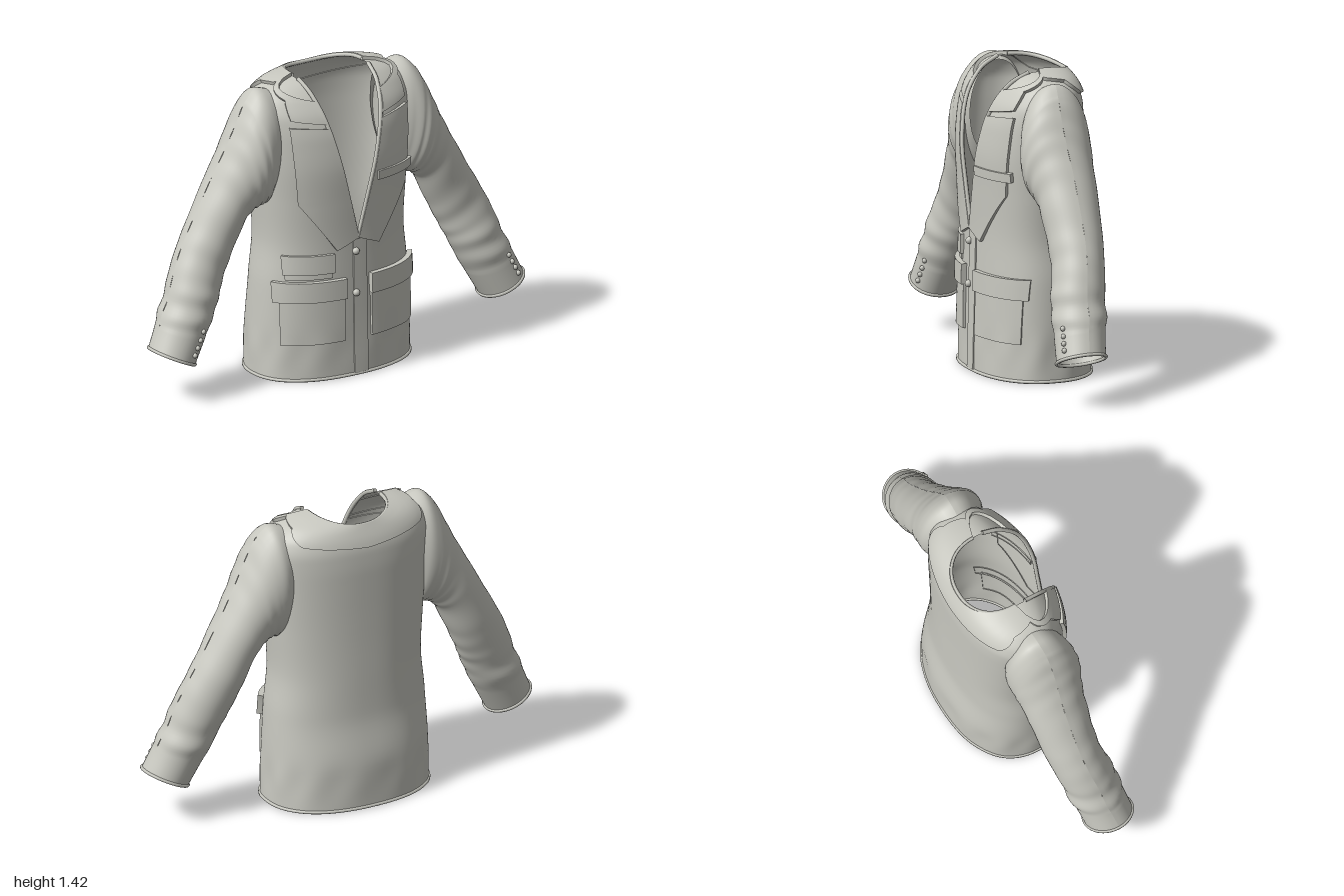
import * as THREE from 'three';
import { toCreasedNormals } from 'three/addons/utils/BufferGeometryUtils.js';

const V = (x, y, z) => new THREE.Vector3(x, y, z);
const lerp = THREE.MathUtils.lerp;
const cloth = new THREE.MeshStandardMaterial({ color: 0xc8c8c0, side: THREE.DoubleSide });
cloth.name = 'paleGreyCloth';

// Monotone smooth lookup: row[0] is the key
function spline(rows, key) {
  const n = rows.length;
  const k = THREE.MathUtils.clamp(key, rows[0][0], rows[n - 1][0]);
  let i = 0;
  while (i < n - 2 && k > rows[i + 1][0]) i++;
  const h = rows[i + 1][0] - rows[i][0], t = (k - rows[i][0]) / h;
  const d = (j, c) => (rows[j + 1][c] - rows[j][c]) / (rows[j + 1][0] - rows[j][0]);
  const slope = (j, c) => {
    if (j === 0) return d(0, c);
    if (j === n - 1) return d(n - 2, c);
    const p = d(j - 1, c), q = d(j, c);
    return p * q <= 0 ? 0 : 2 * p * q / (p + q);
  };
  return rows[i].slice(1).map((_, m) => {
    const c = m + 1, t2 = t * t, t3 = t2 * t;
    return (2 * t3 - 3 * t2 + 1) * rows[i][c] + (t3 - 2 * t2 + t) * h * slope(i, c)
      + (3 * t2 - 2 * t3) * rows[i + 1][c] + (t3 - t2) * h * slope(i + 1, c);
  });
}

// Torso sections: height, half width, front z, back z
const TOP = 1.405, N = 2.3;
const torsoRows = [
  [0, .4, .26, -.28], [.2, .396, .255, -.278], [.45, .385, .25, -.245], [.65, .366, .247, -.24],
  [.85, .378, .252, -.236], [1, .39, .257, -.235], [1.15, .4, .243, -.235], [1.25, .405, .215, -.23],
  [1.32, .385, .172, -.215], [1.37, .33, .125, -.2], [1.395, .25, .09, -.19], [TOP, .19, .06, -.185]];
const pw = s => Math.sign(s) * Math.abs(s) ** (2 / N);

// Torso surface: a = 0 is the front, a = PI / 2 the left side
function torso(a, y) {
  const [w, zf, zb] = spline(torsoRows, y), c = Math.cos(a);
  const dip = c < 0 ? .03 * c * c * THREE.MathUtils.smoothstep(y, 1.28, TOP) : 0;
  const fold = 1 + .012 * Math.sin(a * 11) * Math.exp(-(((y - .13) / .08) ** 2));
  return V(w * pw(Math.sin(a)) * fold, y - dip, (c > 0 ? zf : -zb) * pw(c) * fold);
}
function raised(a, y, off) {
  const e = .012;
  const da = torso(a + e, y).sub(torso(a - e, y));
  const dy = torso(a, Math.min(TOP, y + e)).sub(torso(a, Math.max(0, y - e)));
  return torso(a, y).addScaledVector(da.cross(dy).normalize(), off);
}
const angleAt = (x, y) =>
  Math.sign(x) * Math.asin(Math.min(1, (Math.abs(x) / spline(torsoRows, y)[0]) ** (N / 2)));
const openingX = y => Math.max(0, .19 * (y - .66) / (TOP - .66));

// Surface from a grid of points f(u, v)
function grid(nu, nv, f) {
  const pos = [], idx = [];
  for (let j = 0; j <= nv; j++) for (let i = 0; i <= nu; i++) pos.push(...f(i / nu, j / nv).toArray());
  for (let j = 0; j < nv; j++) for (let i = 0; i < nu; i++) {
    const p = j * (nu + 1) + i, q = p + nu + 1;
    idx.push(p, p + 1, q + 1, p, q + 1, q);
  }
  const g = new THREE.BufferGeometry();
  g.setAttribute('position', new THREE.Float32BufferAttribute(pos, 3));
  g.setIndex(idx);
  g.computeVertexNormals();
  return g;
}

// Raised cloth panel following the torso, with turned-down edges; f gives [angle, height]
function panel(nu, nv, thick, f) {
  const inner = (t, n) => THREE.MathUtils.clamp((t * (n + 2) - 1) / n, 0, 1);
  const edge = t => t < 1e-6 || t > 1 - 1e-6;
  return toCreasedNormals(grid(nu + 2, nv + 2, (u, v) => {
    const [a, y] = f(inner(u, nu), inner(v, nv));
    return raised(a, y, edge(u) || edge(v) ? -.004 : thick);
  }), .7);
}
const patch = (x0, x1, y0, y1, thick) => panel(14, 6, thick, (u, v) => {
  const y = lerp(y0, y1, v);
  return [angleAt(lerp(x0, x1, u), y), y];
});

// Straight-line walk along a list of control rows
function walk(rows, t) {
  const s = t * (rows.length - 1), i = Math.min(rows.length - 2, Math.floor(s));
  return rows[i].map((p, k) => lerp(p, rows[i + 1][k], s - i));
}

// Sleeve sections: key, outer x y, inner x y, centre z, half depth
const sleeveRows = [
  [0, .3, 1.36, .335, .9, 0, .13], [1, .385, 1.385, .35, .855, 0, .158], [2, .45, 1.335, .37, .835, .008, .168],
  [3, .505, 1.235, .405, .832, .012, .166], [4, .56, 1.125, .435, .82, .008, .152],
  [5, .634, .99, .475, .785, .002, .14], [6, .74, .8, .55, .635, .004, .128],
  [7, .815, .665, .6, .53, .015, .122], [8, .872, .535, .635, .455, .035, .126],
  [8.5, .892, .475, .656, .41, .042, .122], [9, .925, .415, .68, .36, .047, .128],
  [9.5, .942, .37, .712, .3, .056, .118], [11, .993, .258, .788, .163, .073, .114]];
function sleeve(th, k, side, grow = 0) {
  const [ox, oy, ix, iy, zc, rz] = spline(sleeveRows, k);
  const wrinkle = k > 2 && k < 9.6 ? .014 * Math.sin(k * 7 + 2 * Math.sin(th)) * Math.sin(th * .5 + .6) : 0;
  const s = 1 + wrinkle + grow, c = Math.cos(th) * s / 2;
  return V(side * ((ox + ix) / 2 + (ox - ix) * c), (oy + iy) / 2 + (oy - iy) * c, zc + rz * s * Math.sin(th));
}

export function createModel() {
  const root = new THREE.Group();
  root.name = 'jacket';
  const add = (name, geo) => {
    const m = new THREE.Mesh(geo, cloth);
    m.name = name;
    root.add(m);
    return m;
  };
  const piping = (name, pts, r, closed) =>
    add(name, new THREE.TubeGeometry(new THREE.CatmullRomCurve3(pts, closed), pts.length * 2, r, 6, closed));
  const button = (name, p, r) => {
    const m = add(name, new THREE.SphereGeometry(r, 12, 8));
    m.position.copy(p);
  };
  const ring = (n, f) => Array.from({ length: n }, (_, i) => f(i / n * Math.PI * 2));

  // Torso shell, open down the front above the top button
  add('torso', grid(96, 64, (u, v) => {
    const y = TOP * (1 - (1 - v) ** 1.6), a0 = angleAt(openingX(y), y);
    return torso(lerp(a0, Math.PI * 2 - a0, u), y);
  }));
  piping('hemEdge', ring(60, a => torso(a, 0).setY(.008)), .008, true);
  add('frontOverlap', patch(-.022, .05, .004, .655, .006));
  [.4, .6].forEach(y => button('frontButton', raised(angleAt(-.012, y), y, .01), .017));

  // Collar, from the front notch around the back; rows are inner a y, outer a y
  const half = [
    [angleAt(.147, 1.225), 1.225, angleAt(.3, 1.255), 1.255],
    [angleAt(.17, 1.32), 1.32, angleAt(.3, 1.335), 1.335],
    [Math.PI / 2, TOP, 1.45, 1.386], [1.9, TOP, 1.9, 1.374],
    [2.4, TOP, 2.3, 1.315], [Math.PI, TOP, Math.PI, 1.28]];
  const collar = half.concat(half.slice(0, -1).reverse()
    .map(([a, y, b, z]) => [Math.PI * 2 - a, y, Math.PI * 2 - b, z]));
  add('collar', panel(80, 6, .016, (u, v) => {
    const [a, y, b, z] = walk(collar, u);
    return [lerp(b, a, v), lerp(z, y, v)];
  }));
  piping('neckEdge', Array.from({ length: 25 }, (_, i) => raised(lerp(Math.PI / 2, Math.PI * 1.5, i / 24), TOP, .004)), .01);

  // Lapel rows: inner x y, outer x y
  const lapel = [[0, .665, .11, .62], [openingX(.86), .86, .28, .86],
    [openingX(1.05), 1.05, .3, 1.08], [openingX(1.205), 1.205, .31, 1.225]];
  for (const side of [1, -1]) {
    const name = side > 0 ? 'left' : 'right';
    add(name + 'Lapel', panel(10, 30, .018, (u, v) => {
      const [x0, y0, x1, y1] = walk(lapel, v), y = lerp(y0, y1, u);
      return [side * angleAt(lerp(x0, x1, u), y), y];
    }));
    piping(name + 'OpeningEdge', Array.from({ length: 20 }, (_, i) => {
      const y = lerp(.66, 1.4, i / 19);
      return raised(side * angleAt(openingX(y), y), y, .006);
    }), .01);

    // Hip pocket and its flap
    add(name + 'HipPocket', patch(side * .07, side * .345, .18, .4, .013));
    add(name + 'HipPocketFlap', patch(side * .065, side * .36, .385, .48, .026));

    // Sleeve, cuff rim and cuff buttons
    add(name + 'Sleeve', grid(40, 90, (u, v) => sleeve(u * Math.PI * 2, v * 11, side)));
    piping(name + 'CuffEdge', ring(32, t => sleeve(t, 10.95, side)), .008, true);
    const th = Math.acos(side > 0 ? .5 : -.35);
    for (let i = 0; i < 4; i++) button(name + 'CuffButton', sleeve(th, 9.35 + i * .38, side, .02), .012);
  }

  // Small pockets
  add('ticketPocket', patch(-.325, -.13, .49, .53, .008));
  add('ticketPocketFlap', patch(-.33, -.12, .515, .605, .016));
  add('breastPocket', patch(.095, .31, .93, .972, .028));
  return root;
}
